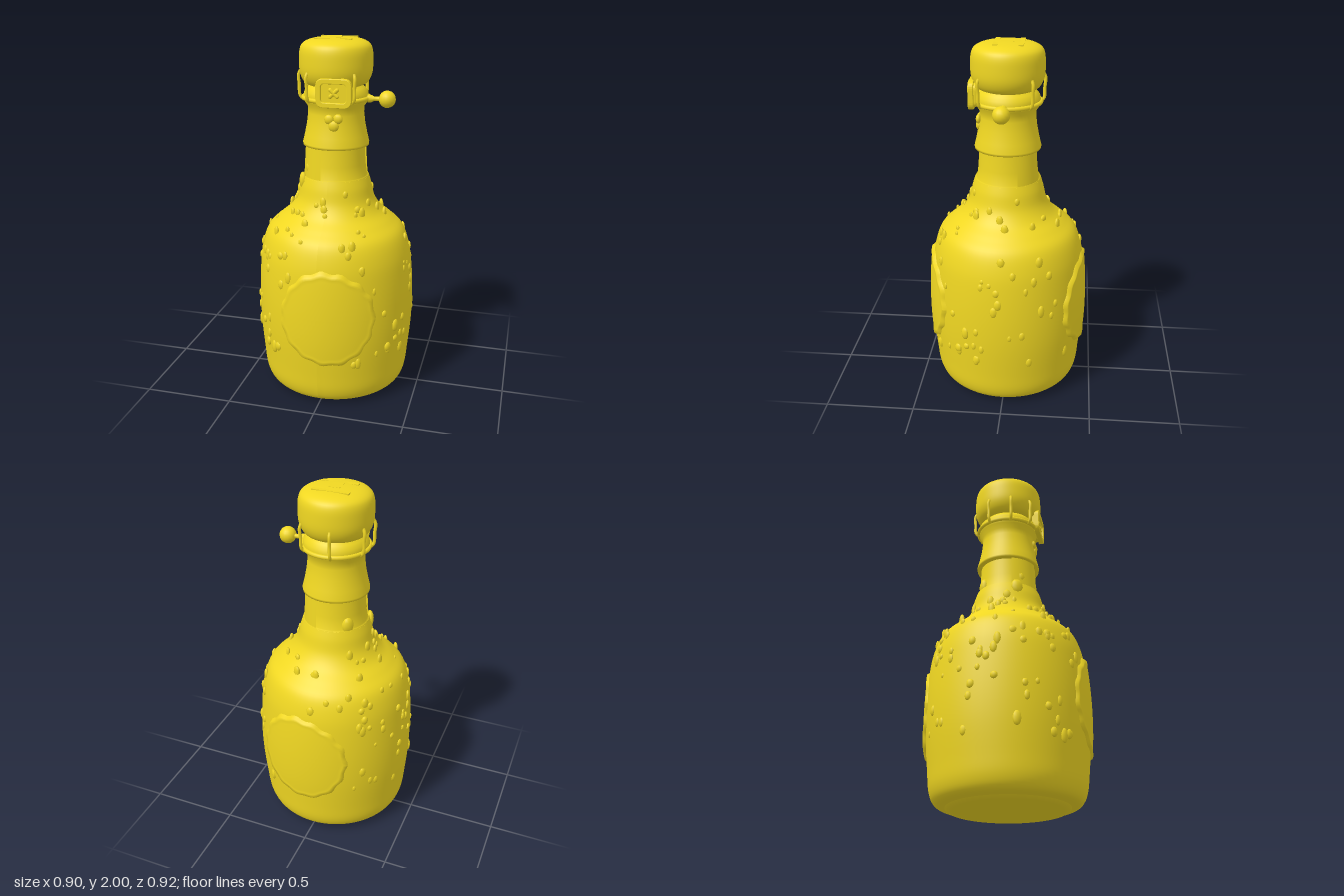
import * as THREE from 'three';
import { mergeGeometries } from 'three/addons/utils/BufferGeometryUtils.js';

const material = new THREE.MeshStandardMaterial({ color: 0xf0d722, side: THREE.DoubleSide });

// Seeded random numbers
let seed = 7;
const rand = () => (seed = (seed * 16807) % 2147483647) / 2147483647;

const vectors = (pairs) => pairs.map(([r, y]) => new THREE.Vector2(r, y));

// Smoothed outline of the glass, from base to neck
const outline = new THREE.SplineCurve(vectors([
  [0.33, 0.012], [0.385, 0.03], [0.415, 0.09], [0.428, 0.2], [0.443, 0.38], [0.445, 0.55],
  [0.436, 0.72], [0.42, 0.84], [0.385, 0.94], [0.325, 1.0], [0.26, 1.055], [0.218, 1.12],
  [0.198, 1.2], [0.182, 1.25],
])).getPoints(70);

function bodyRadius(y) {
  for (let i = 1; i < outline.length; i++) {
    const a = outline[i - 1], b = outline[i];
    if (y <= b.y) return THREE.MathUtils.mapLinear(y, a.y, b.y, a.x, b.x);
  }
  return 0.168;
}

// Angles are measured from the front (+z) towards +x
const around = (angle, r, y) => new THREE.Vector3(Math.sin(angle) * r, y, Math.cos(angle) * r);

const seals = [{ name: 'frontSeal', angle: 0.13 }, { name: 'backSeal', angle: Math.PI - 0.1 }];
const SEAL_Y = 0.545, SEAL_R = 0.28;

// Wavy-edged disc wrapped on to the glass
function sealGeometry(centre) {
  const g = new THREE.RingGeometry(0.001, 1, 96, 16);
  const p = g.attributes.position;
  for (let i = 0; i < p.count; i++) {
    const x = p.getX(i), y = p.getY(i), t = Math.hypot(x, y), a = Math.atan2(y, x);
    const scallop = 1 + t ** 4 * (0.025 * Math.cos(15 * a) + 0.012 * Math.sin(4 * a));
    const h = SEAL_Y + y * SEAL_R * scallop;
    const lift = t > 0.98 ? -0.008 : t > 0.9 ? 0.016 : 0.012;
    const v = around(centre + x * SEAL_R * scallop / 0.445, bodyRadius(h) + lift, h);
    p.setXYZ(i, v.x, v.y, v.z);
  }
  g.computeVertexNormals();
  return g;
}

function onSeal(angle, y) {
  return seals.some((s) => {
    const d = Math.atan2(Math.sin(angle - s.angle), Math.cos(angle - s.angle));
    return Math.hypot(d * 0.445, y - SEAL_Y) < SEAL_R + 0.03;
  });
}

// Flattened droplet sitting on the surface
function bump(angle, y, size, stretch = 1) {
  const g = new THREE.SphereGeometry(size, 8, 6);
  g.scale(1, stretch, 0.6);
  g.rotateY(angle);
  const v = around(angle, bodyRadius(y) - size * 0.1, y);
  return g.translate(v.x, v.y, v.z);
}

// Rounded rectangle traced around the origin
function roundedRect(target, w, h, r) {
  const x = w / 2, y = h / 2;
  target.moveTo(-x + r, -y);
  target.lineTo(x - r, -y).quadraticCurveTo(x, -y, x, -y + r);
  target.lineTo(x, y - r).quadraticCurveTo(x, y, x - r, y);
  target.lineTo(-x + r, y).quadraticCurveTo(-x, y, -x, y - r);
  target.lineTo(-x, -y + r).quadraticCurveTo(-x, -y, -x + r, -y);
  return target;
}

export function createModel() {
  const model = new THREE.Group();
  const add = (name, geometry, parent = model) => {
    const mesh = new THREE.Mesh(geometry, material);
    mesh.name = name;
    parent.add(mesh);
    return mesh;
  };
  const lathe = (name, pairs) => add(name, new THREE.LatheGeometry(vectors(pairs), 48));

  // Glass body, gently uneven, with its foot
  const body = new THREE.LatheGeometry(outline, 64);
  const p = body.attributes.position;
  for (let i = 0; i < p.count; i++) {
    const x = p.getX(i), y = p.getY(i), z = p.getZ(i), a = Math.atan2(x, z);
    const k = 1 + 0.006 * Math.sin(3 * a + 5 * y) * Math.sin(Math.PI * Math.min(y / 1.25, 1));
    p.setXYZ(i, x * k, y, z * k);
  }
  body.computeVertexNormals();
  add('bottleBody', body);
  lathe('bottleFoot', [[0, 0.004], [0.29, 0], [0.315, 0], [0.335, 0.016]]);
  lathe('neck', [[0.184, 1.245], [0.172, 1.252], [0.163, 1.32], [0.158, 1.43]]);

  // Raised strips on the neck
  for (const [angle, width] of [[-0.75, 1.0], [2.4, 0.9]]) {
    add('neckStrip', new THREE.CylinderGeometry(0.167, 0.179, 0.2, 12, 3, true, angle - width / 2, width))
      .position.y = 1.33;
  }

  // Seals on the front and back
  for (const s of seals) add(s.name, sealGeometry(s.angle));

  // Droplets over the sides and shoulders
  const drops = [];
  while (drops.length < 130) {
    const angle = rand() * Math.PI * 2, y = 0.27 + rand() * 0.87;
    if (!onSeal(angle, y)) drops.push(bump(angle, y, 0.011 + rand() * 0.012, 1 + rand()));
  }
  for (const [angle, y, size] of [[-1.1, 1.22, 0.035], [-0.9, 1.3, 0.022], [-1.4, 1.16, 0.022],
    [3.9, 1.27, 0.035], [0.5, 1.18, 0.016], [1.9, 1.17, 0.016]]) drops.push(bump(angle, y, size, 1.4));
  add('droplets', mergeGeometries(drops));

  // Flared collar under the stopper
  lathe('collar', [[0.155, 1.42], [0.182, 1.422], [0.183, 1.435], [0.172, 1.48], [0.16, 1.54],
    [0.153, 1.6], [0.155, 1.635], [0.172, 1.66], [0.177, 1.685], [0.172, 1.715], [0.155, 1.735], [0.13, 1.76]]);
  for (const [x, y, s] of [[0.0, 1.585, 0.026], [0.05, 1.59, 0.026], [0.025, 1.55, 0.03]]) {
    const spot = add('collarBoss', new THREE.SphereGeometry(s, 10, 8));
    spot.scale.z = 0.55;
    spot.position.set(x, y, 0.155);
  }

  // Stopper cap
  const cap = vectors([[0.135, 1.745], [0.165, 1.758], [0.185, 1.785], [0.197, 1.825], [0.199, 1.88],
    [0.195, 1.935], [0.178, 1.968], [0.135, 1.988], [0.07, 1.997], [0, 2]]);
  add('stopperCap', new THREE.LatheGeometry(new THREE.SplineCurve(cap).getPoints(36), 48));

  // Raised bars on top of the cap
  for (const z of [-0.075, 0, 0.06]) {
    const bar = add('capRidge', new THREE.BoxGeometry(z ? 0.2 : 0.06, 0.012, z ? 0.025 : 0.07));
    bar.position.set(0, z ? 1.991 : 1.994, z);
  }

  // Wire clasp: band and upright loops
  const clasp = new THREE.Group();
  clasp.name = 'wireClasp';
  model.add(clasp);
  const band = add('wireBand', new THREE.TorusGeometry(0.178, 0.012, 8, 48), clasp);
  band.rotation.x = Math.PI / 2;
  band.position.y = 1.68;
  for (const angle of [-0.65, 0.75, 2.35, 3.35, 4.3, 5.0]) {
    const path = new THREE.CatmullRomCurve3([[0.178, 1.67], [0.196, 1.69], [0.199, 1.75], [0.203, 1.8], [0.192, 1.825]]
      .map(([r, y]) => around(angle, r, y)));
    add('wireLoop', new THREE.TubeGeometry(path, 12, 0.009, 8), clasp);
  }

  // Framed plate on the front of the clasp
  const frame = roundedRect(new THREE.Shape(), 0.185, 0.145, 0.04);
  frame.holes.push(roundedRect(new THREE.Path(), 0.145, 0.105, 0.025));
  const bevel = { depth: 0.022, bevelSize: 0.004, bevelThickness: 0.004, bevelSegments: 2, curveSegments: 8 };
  add('plateFrame', new THREE.ExtrudeGeometry(frame, bevel), clasp).position.set(0.035, 1.73, 0.175);
  const panel = roundedRect(new THREE.Shape(), 0.16, 0.12, 0.03);
  add('platePanel', new THREE.ExtrudeGeometry(panel, { ...bevel, depth: 0.025 }), clasp).position.set(0.035, 1.73, 0.16);
  for (const s of [-1, 1]) {
    const ridge = add('plateRidge', new THREE.CapsuleGeometry(0.011, 0.05, 4, 8), clasp);
    ridge.rotation.z = s * 0.8;
    ridge.position.set(0.035, 1.73, 0.188);
  }

  // Ball handle on its stem
  const stem = add('handleStem', new THREE.LatheGeometry(vectors([[0.022, 0], [0.02, 0.02], [0.012, 0.035],
    [0.012, 0.06], [0.02, 0.08]]), 12), clasp);
  stem.rotation.z = -Math.PI / 2;
  stem.position.set(0.178, 1.68, 0.01);
  add('handleBall', new THREE.SphereGeometry(0.046, 16, 12), clasp).position.set(0.284, 1.68, 0.01);

  return model;
}
